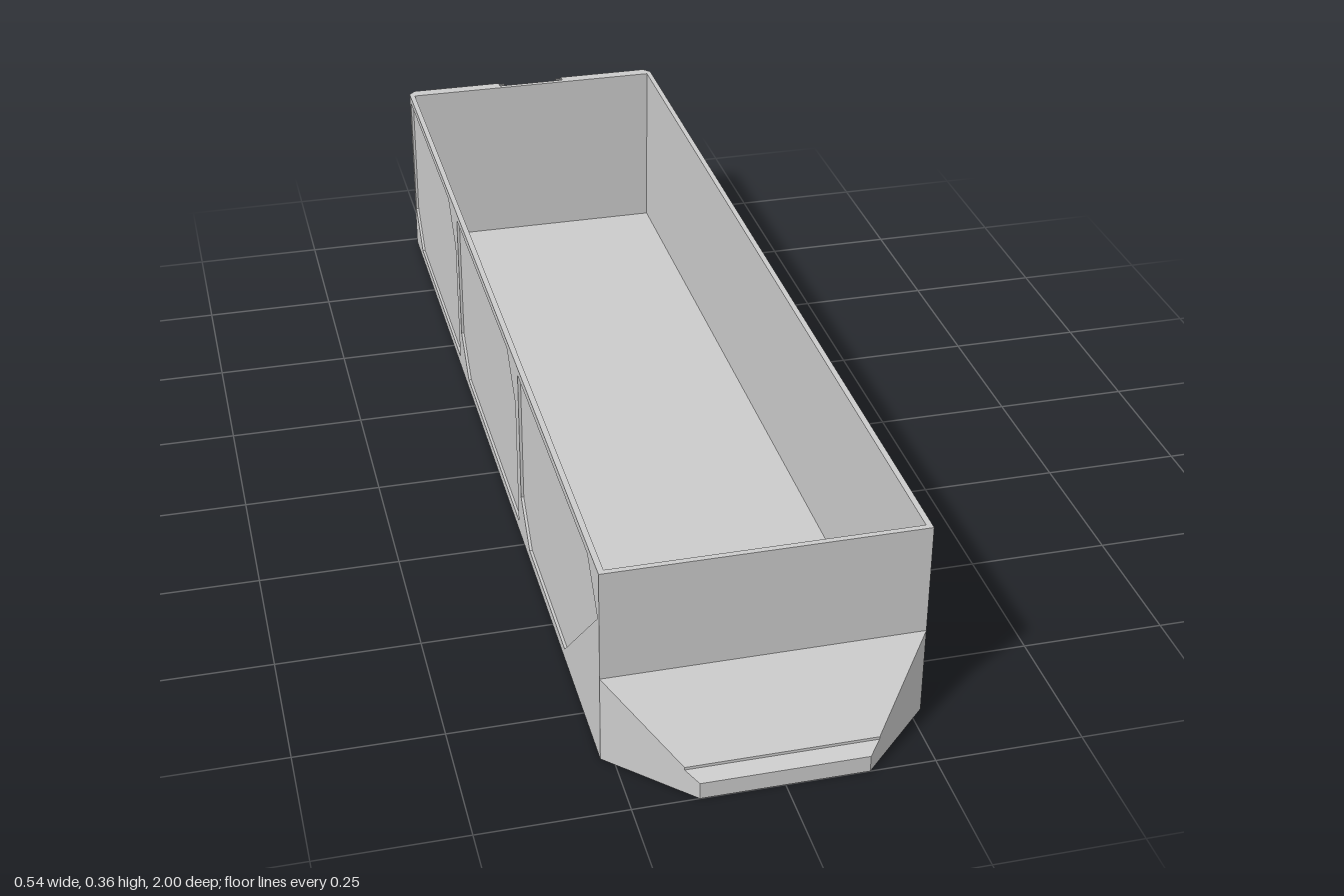
import * as THREE from 'three';

const material = new THREE.MeshStandardMaterial({ color: 0xcccccc, flatShading: true, side: THREE.DoubleSide });

const W = 0.27, H = 0.36, FRONT = 0.87, BACK = -1, SKIN = 0.005, PLATE = 0.015;

function add(group, name, geometry) {
  const mesh = new THREE.Mesh(geometry, material);
  mesh.name = name;
  group.add(mesh);
  return mesh;
}

const toPoints = (list) => list.map(([x, y]) => new THREE.Vector2(x, y));

// Flat plate with polygonal openings
function plate(outline, holes, depth) {
  const shape = new THREE.Shape(toPoints(outline));
  holes.forEach((h) => shape.holes.push(new THREE.Path(toPoints(h))));
  return new THREE.ExtrudeGeometry(shape, { depth, bevelEnabled: false });
}

// Surface made from four-cornered faces, each listed counter-clockwise from outside
function quads(list) {
  const pos = [];
  for (const [a, b, c, d] of list) pos.push(...a, ...b, ...c, ...a, ...c, ...d);
  const g = new THREE.BufferGeometry();
  g.setAttribute('position', new THREE.Float32BufferAttribute(pos, 3));
  g.computeVertexNormals();
  return g;
}

// Side panel outline in (z, y) with two opposite corners cut off
function panel(z0, z1, frontFoot) {
  return [[z0, 0.27], [z0 - 0.07, 0.345], [z1, 0.345], [z1, 0.09], [z1 + 0.07, 0.02], [frontFoot, 0.02]];
}

// Outer skin of one side, s = +1 for left, -1 for right
function sideSkin(s) {
  const flip = (pts) => pts.map(([z, y]) => [-s * z, y]);
  const outline = [[BACK + PLATE, 0], [FRONT, 0], [FRONT, H], [BACK + PLATE, H]];
  const holes = [panel(0.86, 0.23, 0.6), panel(0.2, -0.39, 0.2), panel(-0.42, -0.97, -0.42)];
  const g = plate(flip(outline), holes.map(flip), SKIN);
  g.rotateY(s * Math.PI / 2);
  g.translate(s * (W - SKIN), 0, 0);
  return g;
}

// Hollow pull lip: tapered outer skin, inner skin and the rim below
function pullLip() {
  const outer = [[0.87, 0.16], [0.98, 0.05], [0.98, 0.045], [1, 0.03], [1, 0]];
  const inner = [[0.87, 0.143], [0.988, 0.025], [0.988, 0]];
  const faces = [];
  const shell = (rows, reach, inward) => {
    const put = (q) => faces.push(inward ? q.reverse() : q);
    for (let i = 0; i < rows.length - 1; i++) {
      const [z0, y0] = rows[i], [z1, y1] = rows[i + 1];
      const w0 = reach - z0, w1 = reach - z1;
      put([[-w0, y0, z0], [-w1, y1, z1], [w1, y1, z1], [w0, y0, z0]]);
      if (z0 === z1) continue;
      put([[w0, y0, z0], [w1, y1, z1], [w1, 0, z1], [w0, 0, z0]]);
      put([[-w0, 0, z0], [-w1, 0, z1], [-w1, y1, z1], [-w0, y0, z0]]);
    }
  };
  shell(outer, 1.14, false);
  shell(inner, 1.123, true);
  faces.push([[-0.14, 0, 1], [-0.135, 0, 0.988], [0.135, 0, 0.988], [0.14, 0, 1]]);
  faces.push([[0.14, 0, 1], [0.135, 0, 0.988], [0.253, 0, 0.87], [0.27, 0, 0.87]]);
  faces.push([[-0.27, 0, 0.87], [-0.253, 0, 0.87], [-0.135, 0, 0.988], [-0.14, 0, 1]]);
  return quads(faces);
}

// Back pocket outline, inset toward its own centre by d
function pocket(cx, d) {
  const l = cx - 0.085 + d, r = cx + 0.085 - d, b = 0.02 + d, t = 0.345 - d, c = 0.045 - d * 0.5;
  return [[l + c, b], [r, b], [r, t - c], [r - c, t], [l, t], [l, b + c]];
}

export function createModel() {
  const model = new THREE.Group();
  model.name = 'storageDrawer';

  // Tray walls and floor
  const w = W - SKIN, back = BACK + PLATE;
  const walls = plate(
    [[-w, -FRONT], [w, -FRONT], [w, -back], [-w, -back]],
    [[[-0.26, -0.86], [0.26, -0.86], [0.26, 0.975], [-0.26, 0.975]]], H);
  walls.rotateX(-Math.PI / 2);
  add(model, 'trayWalls', walls);
  const floor = new THREE.BoxGeometry(0.522, 0.015, 1.837);
  floor.translate(0, 0.0075, -0.0575);
  add(model, 'trayFloor', floor);

  // Panelled sides and cut back corners
  for (const s of [1, -1]) {
    const side = s > 0 ? 'left' : 'right';
    add(model, side + 'SidePanels', sideSkin(s));
    const corner = plate([[s * 0.257, -back], [s * W, -back], [s * 0.257, -BACK]], [], H);
    corner.rotateX(-Math.PI / 2);
    add(model, side + 'BackCorner', corner);
  }

  // Back plate with two pockets and a notch open at the rim
  const e = 0.257, n = 0.07;
  const backPlate = plate(
    [[-e, 0], [e, 0], [e, H], [n, H], [n, 0.21], [n - 0.015, 0.2], [0.015 - n, 0.2], [-n, 0.21], [-n, H], [-e, H]],
    [pocket(0.163, 0), pocket(-0.163, 0)], PLATE);
  backPlate.translate(0, 0, BACK);
  add(model, 'backPlate', backPlate);

  // Sloping pocket walls
  for (const s of [1, -1]) {
    const rim = pocket(s * 0.163, 0), base = pocket(s * 0.163, 0.018);
    const faces = rim.map((p, i) => {
      const j = (i + 1) % rim.length;
      return [[...p, BACK], [...base[i], back], [...base[j], back], [...rim[j], BACK]];
    });
    add(model, s > 0 ? 'leftPocketSlopes' : 'rightPocketSlopes', quads(faces));

    // Small lips holding the notch edges
    const lip = new THREE.BoxGeometry(0.012, 0.02, 0.005);
    lip.translate(s * 0.064, H - 0.012, BACK + 0.0025);
    add(model, s > 0 ? 'leftNotchLip' : 'rightNotchLip', lip);
  }

  // Catch at the foot of the notch
  const latch = new THREE.BoxGeometry(0.05, 0.012, 0.009);
  latch.translate(0, 0.206, -0.99);
  add(model, 'notchCatch', latch);

  add(model, 'pullLip', pullLip());
  return model;
}
